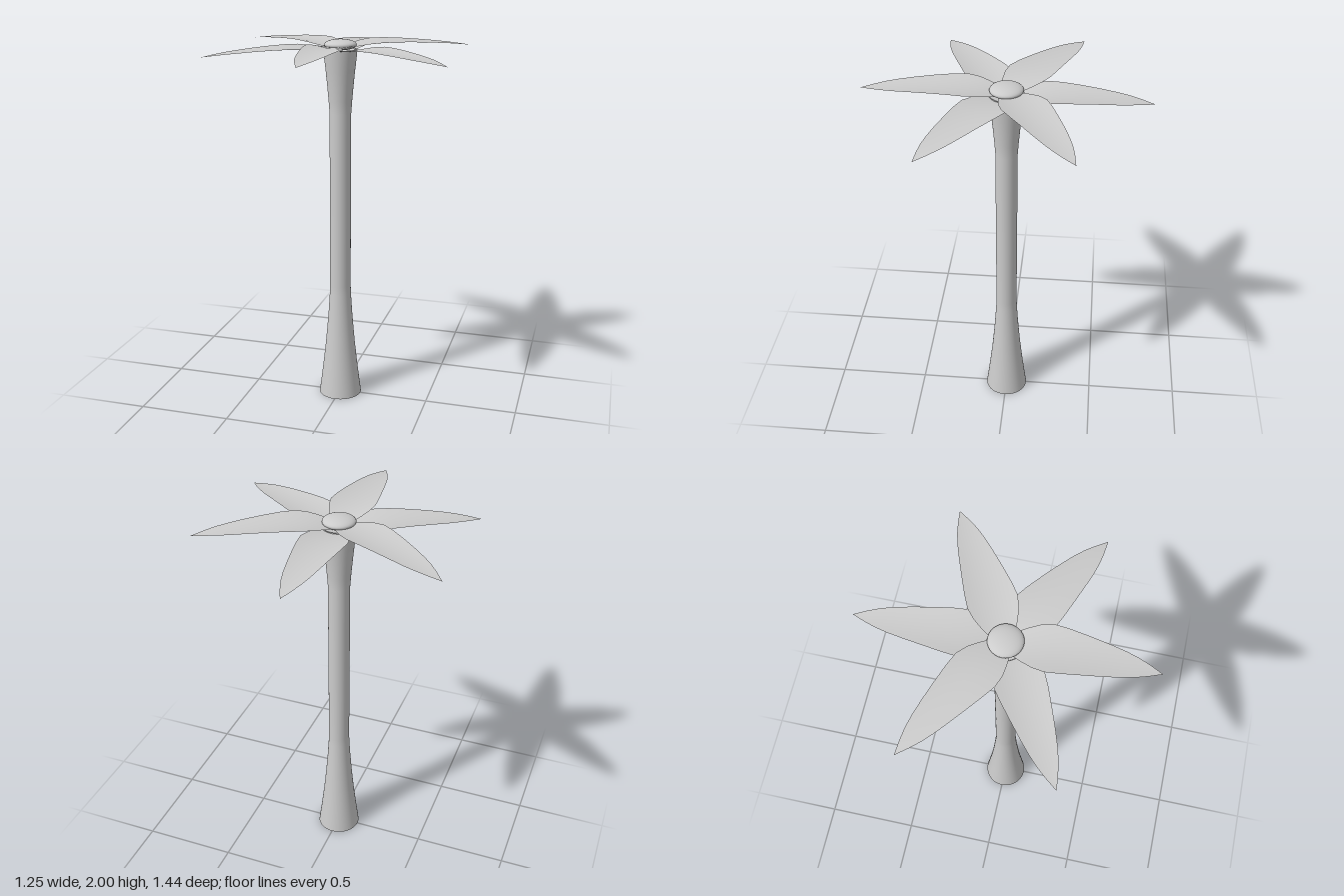
import * as THREE from 'three';

const material = new THREE.MeshStandardMaterial({ color: 0xcccccc, side: THREE.DoubleSide });
const vectors = (points) => points.map(([x, y]) => new THREE.Vector2(x, y));

// Stations along a leaf: [distance from centre, half width, midrib height]
const LEAF = [
  [0.03, 0.035, 1.956], [0.05, 0.066, 1.960], [0.09, 0.087, 1.966], [0.14, 0.108, 1.972],
  [0.2, 0.12, 1.976], [0.27, 0.113, 1.978], [0.36, 0.099, 1.977], [0.46, 0.082, 1.973],
  [0.54, 0.066, 1.968], [0.6, 0.05, 1.964], [0.66, 0.028, 1.958], [0.722, 0.0005, 1.95],
];

// Pointed blade along +z, arched lengthwise with gently raised edges
function leafGeometry() {
  const across = 8;
  const geometry = new THREE.PlaneGeometry(1, 1, across, LEAF.length - 1);
  const position = geometry.attributes.position;
  LEAF.forEach(([r, half, y], i) => {
    for (let j = 0; j <= across; j++) {
      const x = half * ((2 * j) / across - 1);
      position.setXYZ(i * (across + 1) + j, x, y + x * x * 0.95, r);
    }
  });
  // Rows run outward, so the winding is flipped to face up
  const index = geometry.index.array;
  for (let i = 0; i < index.length; i += 3) {
    [index[i + 1], index[i + 2]] = [index[i + 2], index[i + 1]];
  }
  geometry.computeVertexNormals();
  const n = geometry.attributes.normal;
  if (n.getY(4 * (across + 1) + 4) < 0) {
    for (let i = 0; i < index.length; i += 3) {
      [index[i + 1], index[i + 2]] = [index[i + 2], index[i + 1]];
    }
    geometry.computeVertexNormals();
  }
  return geometry;
}

export function createModel() {
  const group = new THREE.Group();

  // Open, flared trunk
  const profile = vectors([
    [0.118, 0], [0.105, 0.1], [0.093, 0.2], [0.082, 0.3], [0.073, 0.4], [0.065, 0.5],
    [0.059, 0.6], [0.057, 0.65], [0.057, 1.61], [0.062, 1.68], [0.069, 1.76],
    [0.077, 1.84], [0.084, 1.9], [0.088, 1.95],
  ]);
  const trunk = new THREE.Mesh(new THREE.LatheGeometry(profile, 40), material);
  trunk.name = 'trunk';
  group.add(trunk);

  // Six leaves, alternating between an upper and a lower whorl
  const geometry = leafGeometry();
  for (let i = 0; i < 6; i++) {
    const leaf = new THREE.Mesh(geometry, material);
    leaf.name = i % 2 ? 'lowerLeaf' : 'upperLeaf';
    leaf.rotation.y = (i * Math.PI) / 3;
    leaf.position.y = i % 2 ? -0.022 : 0;
    group.add(leaf);
  }

  // Flattened bud at the centre of the crown
  const bud = new THREE.Mesh(new THREE.SphereGeometry(0.085, 32, 16), material);
  bud.name = 'bud';
  bud.scale.y = 0.33;
  bud.position.y = 2 - 0.085 * 0.33;
  group.add(bud);

  return group;
}
